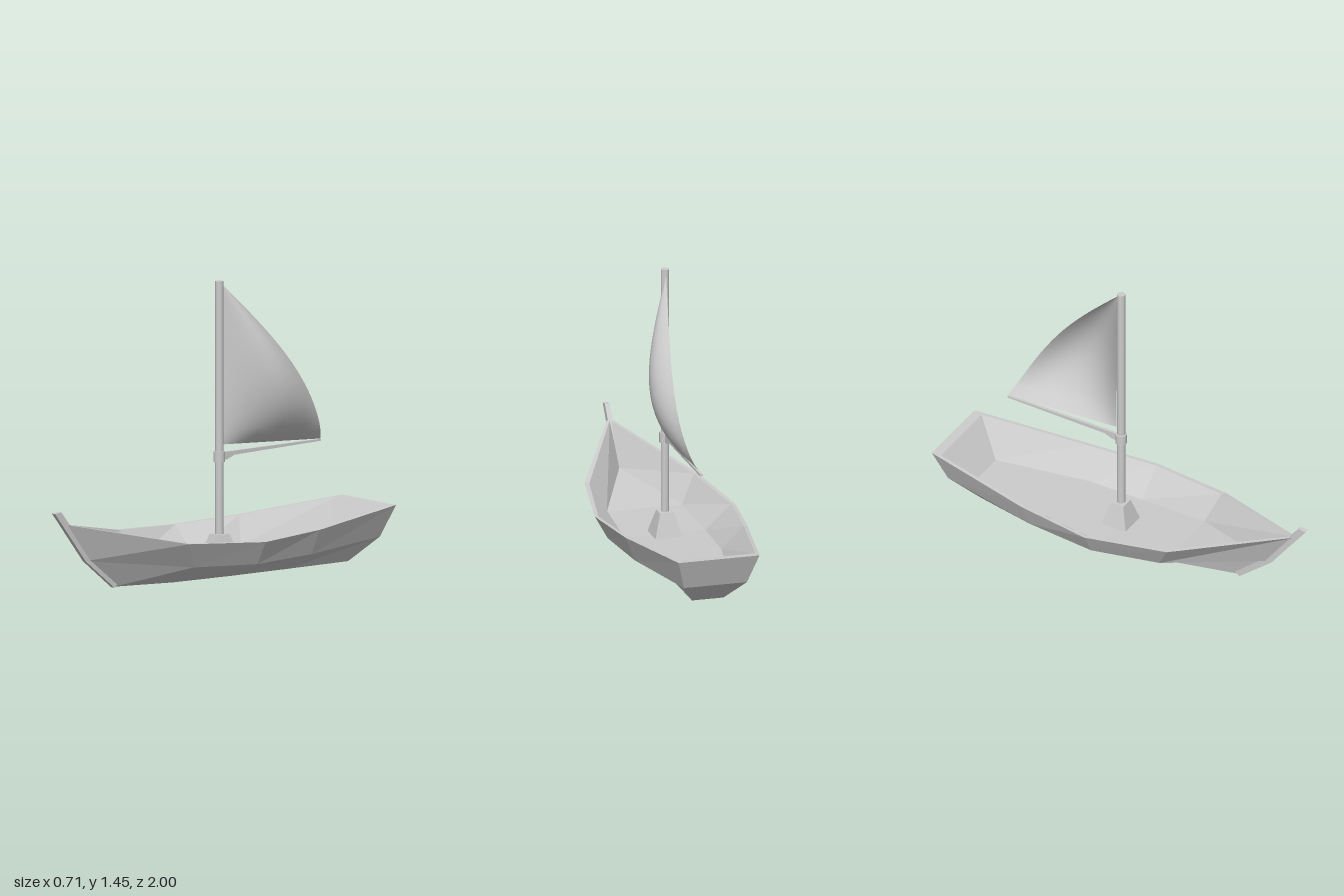
import * as THREE from 'three';

const flat = new THREE.MeshStandardMaterial({ color: 0xcccccc, flatShading: true });
const smooth = new THREE.MeshStandardMaterial({ color: 0xcccccc });
const cloth = new THREE.MeshStandardMaterial({ color: 0xcccccc, side: THREE.DoubleSide });
const MAST_Z = -0.05;

function part(name, geometry, material) {
  const mesh = new THREE.Mesh(geometry, material);
  mesh.name = name;
  return mesh;
}

// Closed ring from one side's stations, bow to stern, mirrored across x
function ring(stations) {
  return [...stations, ...stations.slice(1).reverse().map(([x, y, z]) => [-x, y, z])];
}

function fromTriangles(tris) {
  const g = new THREE.BufferGeometry();
  g.setAttribute('position', new THREE.Float32BufferAttribute(tris.flat(2), 3));
  g.computeVertexNormals();
  return g;
}

// Band of faces between successive rings
function loft(...rings) {
  const tris = [];
  for (let l = 0; l < rings.length - 1; l++) {
    const a = rings[l], b = rings[l + 1], n = a.length;
    for (let i = 0; i < n; i++) {
      const j = (i + 1) % n;
      tris.push([a[i], a[j], b[j]], [a[i], b[j], b[i]]);
    }
  }
  return fromTriangles(tris);
}

// Deck of cross strips filling a ring, facing up or down
function deck(r, up) {
  const n = r.length, tris = [];
  for (let i = 0; i < (n - 1) / 2; i++) {
    const p = r[i], q = r[i + 1], s = r[n - 1 - i], t = r[(n - i) % n];
    const strip = i === 0 ? [[p, q, s]] : [[p, q, s], [p, s, t]];
    for (const [a, b, c] of strip) tris.push(up ? [a, b, c] : [a, c, b]);
  }
  return fromTriangles(tris);
}

// Side profile given as [z, y] points, extruded across x
function sideProfile(points, width) {
  const shape = new THREE.Shape(points.map(([z, y]) => new THREE.Vector2(z, y)));
  return new THREE.ExtrudeGeometry(shape, { depth: width, bevelEnabled: false })
    .translate(0, 0, -width / 2).rotateY(-Math.PI / 2);
}

function sailGeometry() {
  const nu = 14, nv = 18;
  const g = new THREE.PlaneGeometry(1, 1, nu, nv);
  const pos = g.attributes.position;
  for (let i = 0; i < pos.count; i++) {
    const u = pos.getX(i) + 0.5, v = Math.max(0, pos.getY(i) + 0.5);
    const luff = -0.078 + 0.01 * v;
    const leech = -0.69 + 0.62 * v - 0.066 * Math.sin(Math.PI * v);
    const belly = 0.155 * Math.sin(Math.PI * Math.pow(v, 0.72)) * Math.sin(2.6 * u);
    const foot = 0.645 - 0.035 * u;
    pos.setXYZ(i, belly, foot + (1.435 - foot) * v, luff + (leech - luff) * u);
  }
  g.computeVertexNormals();
  return g;
}

export function createModel() {
  const boat = new THREE.Group();
  boat.name = 'sailboat';

  // Hull rings, stations run bow, forward, middle, aft, stern
  const bottom = ring([[0, 0.015, 0.615], [0.07, 0.012, 0.3], [0.09, 0.01, -0.05], [0.09, 0.007, -0.42], [0.08, 0.003, -0.8]]);
  const chine = ring([[0, 0.16, 0.795], [0.225, 0.105, 0.3], [0.29, 0.093, -0.05], [0.26, 0.1, -0.42], [0.16, 0.12, -0.935]]);
  const rail = ring([[0, 0.357, 0.945], [0.285, 0.235, 0.375], [0.355, 0.21, -0.05], [0.31, 0.225, -0.43], [0.205, 0.275, -1]]);
  const innerRail = ring([[0, 0.352, 0.915], [0.265, 0.235, 0.36], [0.337, 0.21, -0.05], [0.293, 0.225, -0.42], [0.195, 0.272, -0.955]]);
  const floor = ring([[0, 0.16, 0.75], [0.19, 0.1, 0.31], [0.205, 0.088, -0.05], [0.198, 0.093, -0.35], [0.11, 0.1, -0.825]]);
  boat.add(
    part('hullSides', loft(bottom, chine, rail), flat),
    part('hullBottom', deck(bottom, false), flat),
    part('gunwale', loft(rail, innerRail), flat),
    part('innerWalls', loft(innerRail, floor), flat),
    part('floor', deck(floor, true), flat),
  );

  // Stem post along the bow
  boat.add(part('stemPost', sideProfile([
    [0.625, 0.012], [0.805, 0.16], [1, 0.415], [0.96, 0.42], [0.905, 0.35], [0.77, 0.175], [0.6, 0.03],
  ], 0.024), flat));

  // Mast step: tapered square block
  const step = part('mastStep', new THREE.CylinderGeometry(0.035 * Math.SQRT2, 0.07 * Math.SQRT2, 0.122, 4).rotateY(Math.PI / 4), flat);
  step.position.set(0, 0.146, MAST_Z - 0.003);
  boat.add(step);

  // Mast and boom collar
  const mast = part('mast', new THREE.CylinderGeometry(0.02, 0.02, 1.265, 16), smooth);
  mast.position.set(0, 0.8225, MAST_Z);
  const collar = part('boomCollar', new THREE.CylinderGeometry(0.028, 0.028, 0.052, 16), smooth);
  collar.position.set(0, 0.588, MAST_Z);
  boat.add(mast, collar);

  // Boom with its bracket, then the sail
  boat.add(part('boom', sideProfile([
    [-0.06, 0.565], [-0.06, 0.608], [-0.69, 0.609], [-0.69, 0.6], [-0.14, 0.588], [-0.1, 0.572],
  ], 0.014), flat));
  boat.add(part('sail', sailGeometry(), cloth));

  return boat;
}
